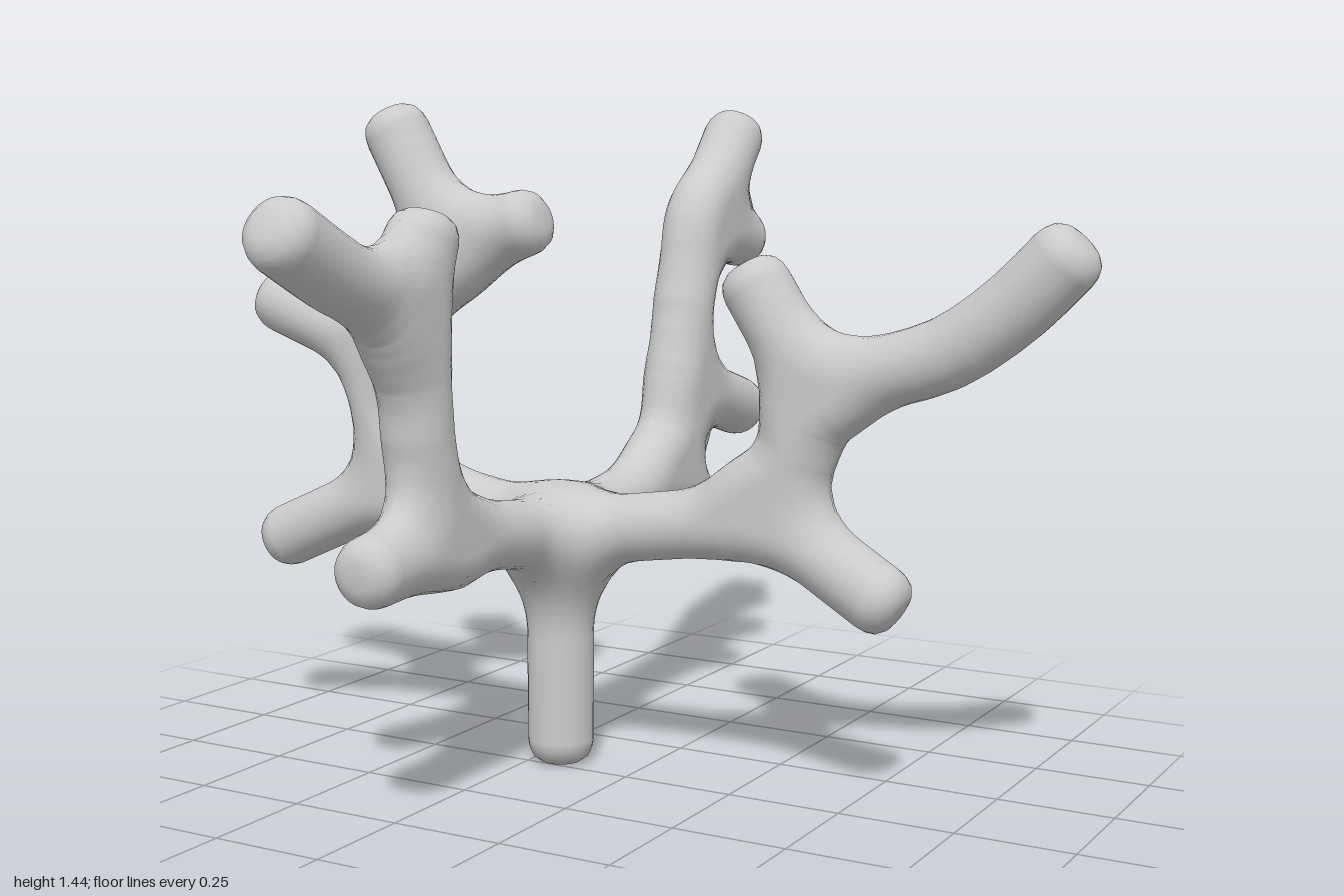
import * as THREE from 'three';

const R = 0.073, SIDES = 24, HUB_X = -0.185, HUB_Z = -0.035;
const HUB_Y = 0.52;

// Four flat arms; each limb is a list of [outward axis, y] points ending at its tip.
const ARMS = [
  { name: 'rightArm', axis: 'x', limbs: {
    stem: [[HUB_X, HUB_Y], [-0.4, 0.555], [-0.58, 0.6], [-0.655, 0.75], [-0.64, 0.88], [-0.53, 1.04], [-0.43, 1.13], [-0.225, 1.2]],
    lowerBranch: [[-0.6, 0.59], [-0.98, 0.42]],
    middleBranch: [[-0.65, 0.9], [-0.8, 0.945], [-0.985, 1.01]],
    upperBranch: [[-0.46, 1.12], [-0.63, 1.425]] } },
  { name: 'leftArm', axis: 'x', limbs: {
    stem: [[HUB_X, HUB_Y], [0.05, 0.55], [0.24, 0.59], [0.37, 0.7], [0.41, 0.82], [0.53, 0.89], [0.7, 0.95], [0.83, 1.04], [0.965, 1.175]],
    lowerBranch: [[0.3, 0.61], [0.61, 0.42]],
    upperBranch: [[0.42, 0.86], [0.26, 1.11]] } },
  { name: 'frontArm', axis: 'z', limbs: {
    stem: [[HUB_Z, HUB_Y], [0.25, 0.555], [0.42, 0.6], [0.485, 0.75], [0.51, 0.92], [0.58, 1.05], [0.73, 1.11], [0.935, 1.215]],
    lowerBranch: [[0.42, 0.565], [0.7, 0.545]],
    upperBranch: [[0.53, 1.02], [0.45, 1.22]] } },
  { name: 'backArm', axis: 'z', limbs: {
    stem: [[HUB_Z, HUB_Y], [-0.35, 0.56], [-0.52, 0.64], [-0.59, 0.8], [-0.6, 0.97], [-0.67, 1.14], [-0.78, 1.28], [-0.89, 1.41]],
    lowerBranch: [[-0.5, 0.6], [-0.78, 0.385]],
    middleBranch: [[-0.59, 0.79], [-0.93, 0.69]],
    upperBranch: [[-0.7, 1.17], [-0.935, 1.115]] } },
];

// Smooth minimum: fillets two distances together
function blend(a, b, k) {
  const h = Math.max(k - Math.abs(a - b), 0) / k;
  return Math.min(a, b) - h * h * k / 4;
}

// Distance from (u, v) to a 2D polyline
function lineDistance(line, u, v) {
  let best = Infinity;
  for (let i = 1; i < line.length; i++) {
    const [ax, ay] = line[i - 1], dx = line[i][0] - ax, dy = line[i][1] - ay;
    const t = Math.min(1, Math.max(0, ((u - ax) * dx + (v - ay) * dy) / (dx * dx + dy * dy)));
    const ex = u - ax - t * dx, ey = v - ay - t * dy;
    best = Math.min(best, ex * ex + ey * ey);
  }
  return Math.sqrt(best);
}

function makeCurve(points, axis) {
  return new THREE.CatmullRomCurve3(points.map(([a, y]) =>
    axis === 'x' ? new THREE.Vector3(a, y, HUB_Z) : new THREE.Vector3(HUB_X, y, a)));
}

// Centre line of a limb, run on past the tip so its sides stay straight there
function makeLine(curve, axis) {
  const pts = curve.getSpacedPoints(24);
  pts.push(pts[24].clone().addScaledVector(curve.getTangentAt(1), 0.1));
  return pts.map((p) => [p[axis], p.y]);
}

// Signed distance to the whole branching body
function makeField(arms) {
  const armDistance = (arm, p) => {
    const w = arm.axis === 'x' ? p.z - HUB_Z : p.x - HUB_X;
    let s = Infinity;
    for (const line of arm.lines) {
      const d = lineDistance(line, p[arm.axis], p.y);
      s = s === Infinity ? d : blend(s, d, 0.14);
    }
    return Math.hypot(Math.max(s, 0), w) - R;
  };
  return (p) => {
    const [a, b, c, d] = arms.map((arm) => armDistance(arm, p));
    const trunk = Math.hypot(p.x - HUB_X, Math.max(p.y - 0.45, 0), p.z - HUB_Z) - R;
    return blend(blend(Math.min(a, b), Math.min(c, d), 0.12), trunk, 0.14);
  };
}

// Tube whose vertices are pushed outward onto the blended body, with a rounded tip
function limbGeometry(curve, planeNormal, field) {
  const length = curve.getLength(), body = length - 0.055;
  const count = Math.ceil(body / 0.018), rings = [];
  for (let i = 0; i <= count; i++) rings.push([body * i / count, 1, 0]);
  rings.push([length - 0.035, 0.96, 0.35], [length - 0.016, 0.84, 0.75],
    [length - 0.004, 0.62, 1.1], [length, 0.4, 1.4], [length, 0, Math.PI / 2]);

  const position = [], normal = [], index = [];
  const p = new THREE.Vector3(), q = new THREE.Vector3(), g = new THREE.Vector3();
  rings.forEach(([at, scale, tilt], i) => {
    const c = curve.getPointAt(at / length), T = curve.getTangentAt(at / length);
    const N = planeNormal.clone().cross(T).normalize();
    for (let j = 0; j <= SIDES; j++) {
      const angle = j / SIDES * Math.PI * 2;
      const ray = N.clone().multiplyScalar(Math.cos(angle)).addScaledVector(planeNormal, Math.sin(angle));
      let t = 0;
      for (let n = 0; n < 40 && t < 0.17; n++) {
        const d = field(p.copy(c).addScaledVector(ray, t));
        if (Math.abs(d) < 2e-4) break;
        t -= d;
      }
      if (t >= 0.17) t = 0.05; // ray runs along a neighbouring limb: stay inside it
      p.copy(c).addScaledVector(ray, t);
      for (const k of ['x', 'y', 'z']) {
        q.copy(p)[k] += 0.002;
        const ahead = field(q);
        q[k] -= 0.004;
        g[k] = ahead - field(q);
      }
      g.normalize().multiplyScalar(Math.cos(tilt)).addScaledVector(T, Math.sin(tilt)).normalize();
      p.copy(c).addScaledVector(ray, t * scale);
      position.push(p.x, p.y, p.z);
      normal.push(g.x, g.y, g.z);
      if (i && j) {
        const d = i * (SIDES + 1) + j, b = d - SIDES - 1;
        index.push(b - 1, b, d - 1, b, d, d - 1);
      }
    }
  });
  const geometry = new THREE.BufferGeometry();
  geometry.setAttribute('position', new THREE.Float32BufferAttribute(position, 3));
  geometry.setAttribute('normal', new THREE.Float32BufferAttribute(normal, 3));
  geometry.setIndex(index);
  return geometry;
}

export function createModel() {
  const model = new THREE.Group();
  model.name = 'branchingCoral';
  const material = new THREE.MeshStandardMaterial({ color: 0xcccccc, roughness: 0.8 });

  const arms = ARMS.map(({ name, axis, limbs }) => {
    const curves = Object.entries(limbs).map(([part, pts]) => [part, makeCurve(pts, axis)]);
    return { name, axis, curves, lines: curves.map(([, curve]) => makeLine(curve, axis)) };
  });
  const field = makeField(arms);

  const addLimb = (parent, name, curve, planeNormal) => {
    const mesh = new THREE.Mesh(limbGeometry(curve, planeNormal, field), material);
    mesh.name = name;
    parent.add(mesh);
  };

  // Four branching arms
  for (const arm of arms) {
    const group = new THREE.Group();
    group.name = arm.name;
    const planeNormal = arm.axis === 'x' ? new THREE.Vector3(0, 0, 1) : new THREE.Vector3(1, 0, 0);
    for (const [part, curve] of arm.curves) addLimb(group, part, curve, planeNormal);
    model.add(group);
  }

  // Trunk, running down from the hub to the ground
  addLimb(model, 'trunk', makeCurve([[HUB_X, 0.5], [HUB_X, 0]], 'x'), new THREE.Vector3(0, 0, 1));
  return model;
}
